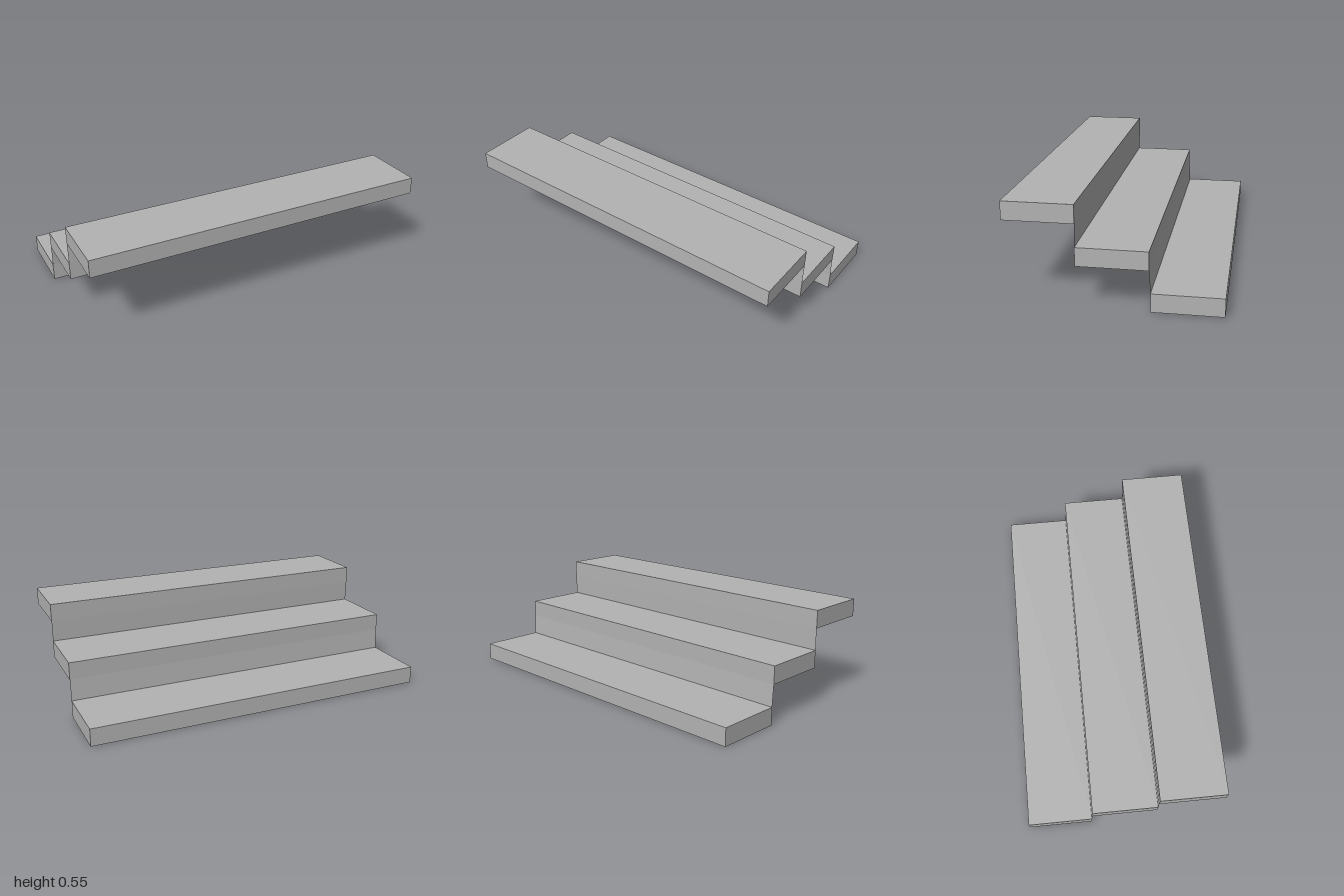
import * as THREE from 'three';

export function createModel() {
  const model = new THREE.Group();
  model.name = 'steps';

  const grey = new THREE.MeshStandardMaterial({ color: 0xb3b3b3, side: THREE.DoubleSide });
  grey.name = 'grey';

  const width = 2, thickness = 0.1, depth = 0.372;

  // Treads, from the lowest at the back to the highest at the front
  const treads = [
    { name: 'lowerTread', y: 0, z: -0.374 },
    { name: 'middleTread', y: 0.222, z: 0.005 },
    { name: 'upperTread', y: 0.445, z: 0.374 },
  ];
  for (const { name, y, z } of treads) {
    const tread = new THREE.Mesh(new THREE.BoxGeometry(width, thickness, depth), grey);
    tread.name = name;
    tread.position.set(0, y + thickness / 2, z);
    model.add(tread);
  }

  // Thin risers joining the front of each tread to the back of the next one up
  for (let i = 0; i < treads.length - 1; i++) {
    const y0 = treads[i].y + thickness, z0 = treads[i].z + depth / 2;
    const y1 = treads[i + 1].y, z1 = treads[i + 1].z - depth / 2;
    const riser = new THREE.Mesh(new THREE.PlaneGeometry(width, Math.hypot(y1 - y0, z1 - z0)), grey);
    riser.name = i === 0 ? 'lowerRiser' : 'upperRiser';
    riser.position.set(0, (y0 + y1) / 2, (z0 + z1) / 2);
    riser.rotation.x = Math.atan2(z1 - z0, y1 - y0);
    model.add(riser);
  }

  return model;
}
